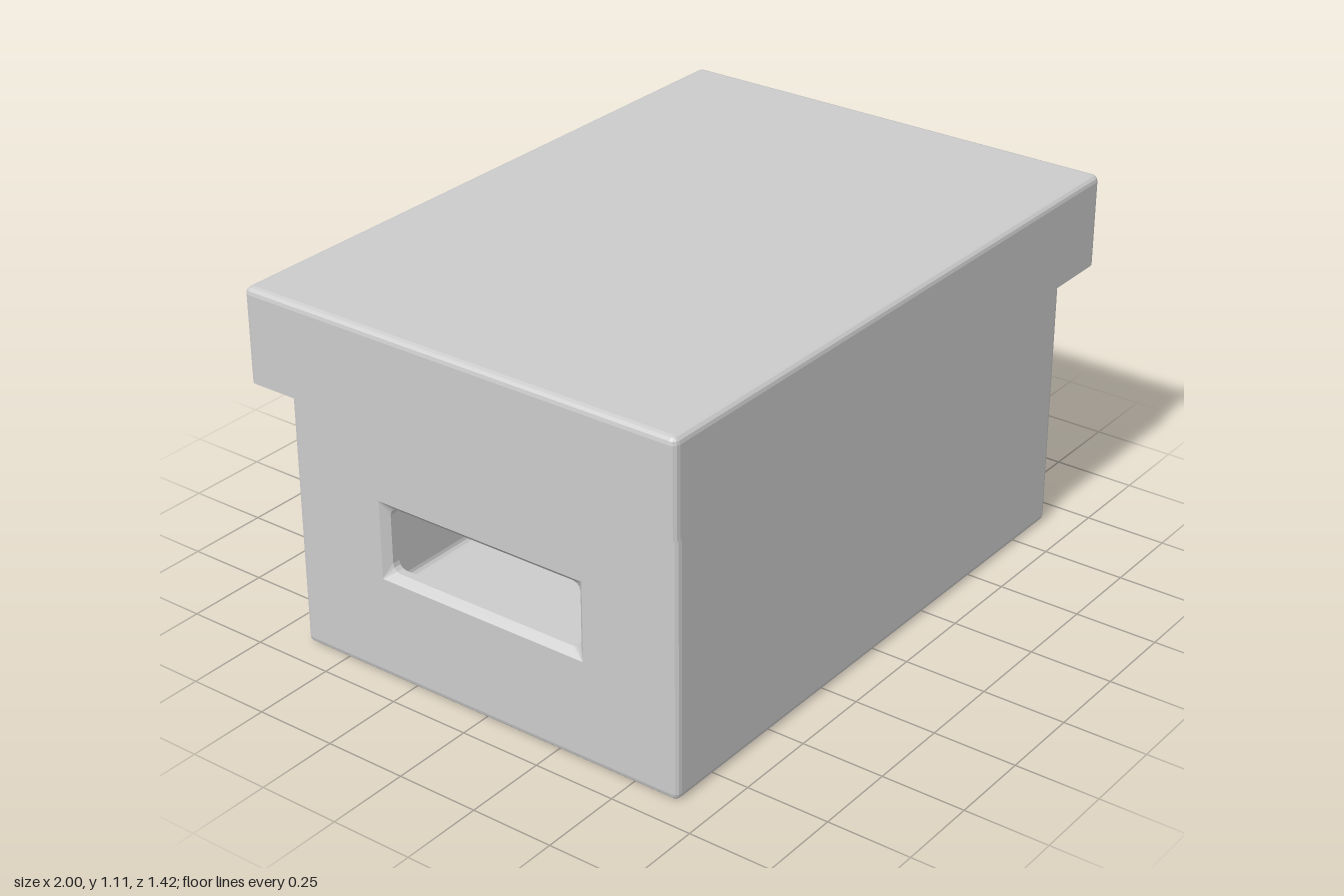
import * as THREE from 'three';
import { mergeGeometries } from 'three/addons/utils/BufferGeometryUtils.js';

const STEPS = 3;            // segments per rounded edge
const M = STEPS + 1;        // points per corner
const BODY = { hx: 0.915, hz: 0.648, wall: 0.045, top: 1.06, r: 0.02 };
const LID = { hx: 1, hz: 0.708, bottom: 0.83, top: 1.11, wallX: 0.08, wallZ: 0.055, r: 0.02 };
const HOLE = { y: 0.431, hz: 0.345, hy: 0.12, bevel: 0.021 };

// Rounded rectangle at height y, running anticlockwise seen from above
function ring(hx, hz, r, y) {
  const points = [];
  const signs = [[1, -1], [-1, -1], [-1, 1], [1, 1]];
  signs.forEach(([sx, sz], k) => {
    for (let i = 0; i < M; i++) {
      const a = (k + i / STEPS) * Math.PI / 2;
      points.push(new THREE.Vector3(
        sx * (hx - r) + r * Math.cos(a), y, sz * (hz - r) - r * Math.sin(a)));
    }
  });
  return points;
}

// Skin between rings; openBands lists bands whose two x ends are left out
function loft(rings, capped, openBands = []) {
  const out = [];
  const tri = (a, b, c) => out.push(...a.toArray(), ...b.toArray(), ...c.toArray());
  const n = 4 * M;
  for (let j = 0; j < rings.length - 1; j++) {
    const lo = rings[j], hi = rings[j + 1];
    for (let i = 0; i < n; i++) {
      if (openBands.includes(j) && (i === 2 * M - 1 || i === n - 1)) continue;
      const k = (i + 1) % n;
      tri(lo[i], lo[k], hi[k]);
      tri(lo[i], hi[k], hi[i]);
    }
  }
  if (capped) {
    const first = rings[0], last = rings[rings.length - 1];
    for (let i = 1; i < n - 1; i++) {
      tri(first[0], first[i + 1], first[i]);
      tri(last[0], last[i], last[i + 1]);
    }
  }
  const g = new THREE.BufferGeometry();
  g.setAttribute('position', new THREE.Float32BufferAttribute(out, 3));
  g.computeVertexNormals();
  return g;
}

// Rings of a quarter-round edge: up = 1 closes a top, up = -1 opens from a bottom
function roundedEdge(hx, hz, r, y, up) {
  const rings = [];
  for (let i = 0; i <= STEPS; i++) {
    const a = (i / STEPS) * Math.PI / 2;
    const inset = r * (1 - Math.cos(a));
    rings.push(ring(hx - inset, hz - inset, Math.max(r - inset, 0.003), y - up * r * (1 - Math.sin(a))));
  }
  return up > 0 ? rings : rings.reverse();
}

// Flat end panel with the grip opening cut out
function panel(halfWidth, y0, y1, hole) {
  const shape = new THREE.Shape([
    new THREE.Vector2(-halfWidth, y0), new THREE.Vector2(halfWidth, y0),
    new THREE.Vector2(halfWidth, y1), new THREE.Vector2(-halfWidth, y1)]);
  shape.holes.push(new THREE.Path(hole.map(p => new THREE.Vector2(p.z, p.x + HOLE.y))));
  const g = new THREE.ShapeGeometry(shape).toNonIndexed();
  g.deleteAttribute('uv');
  return g;
}

export function createModel() {
  const model = new THREE.Group();
  const material = new THREE.MeshStandardMaterial({ color: 0xcccccc, flatShading: true });
  const add = (name, geometry) => {
    const mesh = new THREE.Mesh(geometry, material);
    mesh.name = name;
    model.add(mesh);
    return mesh;
  };

  // Hollow body: outside from the base up, over the rim, then down to the floor
  const { hx, hz, wall, top, r } = BODY;
  const ix = hx - wall, iz = hz - wall;
  const outer = roundedEdge(hx, hz, r, 0, -1);
  const inner = roundedEdge(ix, iz, r, wall, -1).reverse();
  add('boxBody', loft(
    [...outer, ring(hx, hz, r, top), ring(ix, iz, r, top), ...inner],
    true, [STEPS, STEPS + 2]));

  // End walls with bevelled grip openings
  const mouth = ring(HOLE.hy, HOLE.hz, 0.003, hx);
  const throat = [hx - HOLE.bevel, ix].map(x =>
    ring(HOLE.hy - HOLE.bevel, HOLE.hz - HOLE.bevel, 0.025, x));
  const endWall = mergeGeometries([
    panel(hz - r, r, top, mouth).rotateY(Math.PI / 2).translate(hx, 0, 0),
    panel(iz - r, wall + r, top, throat[1]).rotateY(-Math.PI / 2).translate(ix, 0, 0),
    loft([mouth, ...throat], false).rotateZ(-Math.PI / 2).translate(0, HOLE.y, 0),
  ]);
  add('leftHandleWall', endWall);
  add('rightHandleWall', endWall).rotation.y = Math.PI;

  // Lid: ceiling, inner skirt, lower rim, outer skirt and rounded top
  const lx = LID.hx - LID.wallX, lz = LID.hz - LID.wallZ;
  add('lid', loft([
    ring(lx, lz, LID.r, top + 0.002),
    ring(lx, lz, LID.r, LID.bottom),
    ring(LID.hx, LID.hz, LID.r, LID.bottom),
    ...roundedEdge(LID.hx, LID.hz, LID.r, LID.top, 1),
  ], true));

  return model;
}
